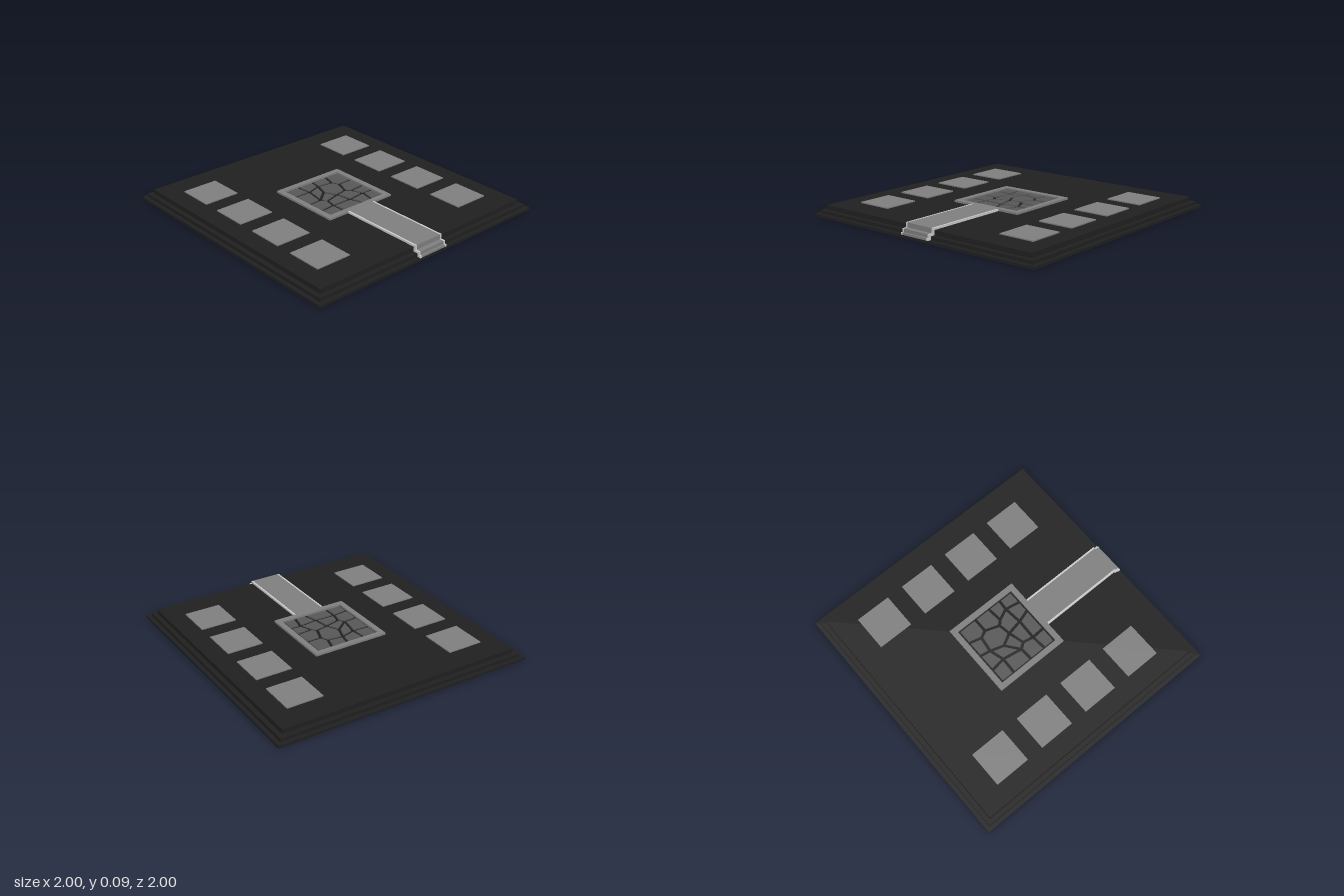
import * as THREE from 'three';

const mat = (color) => new THREE.MeshStandardMaterial({ color, flatShading: true });
const DARK = mat(0x202020), STONE = mat(0x585858), GREY = mat(0x808080), LIGHT = mat(0xbcbcbc);

function addMesh(parent, name, geometry, material) {
  const mesh = new THREE.Mesh(geometry, material);
  mesh.name = name;
  parent.add(mesh);
  return mesh;
}

// Box given by its centre in plan, its size and its bottom and top heights
function slab(parent, name, x, z, w, d, y0, y1, material) {
  addMesh(parent, name, new THREE.BoxGeometry(w, y1 - y0, d), material).position.set(x, (y0 + y1) / 2, z);
}

// Moves every edge of a polygon inward by t and intersects neighbouring edges
function inset(points, t) {
  const n = points.length;
  const centre = points.reduce((s, p) => s.add(p), new THREE.Vector2()).divideScalar(n);
  const lines = points.map((p, i) => {
    const d = points[(i + 1) % n].clone().sub(p).normalize();
    const normal = new THREE.Vector2(-d.y, d.x);
    if (normal.dot(centre.clone().sub(p)) < 0) normal.negate();
    return { p: p.clone().addScaledVector(normal, t), d };
  });
  return lines.map((b, i) => {
    const a = lines[(i + n - 1) % n];
    const s = b.p.clone().sub(a.p).cross(b.d) / a.d.cross(b.d);
    return a.p.clone().addScaledVector(a.d, s);
  });
}

// Corners of the paving pattern (x, z) in hundredths, and the stones between them
const corners = {
  a: [-25, -25], b: [-13.4, -25], c: [0.5, -25], d: [13.4, -25], e: [25, -25],
  f: [25, -9.6], g: [25, 3.2], h: [25, 13.4], i: [25, 24.5], j: [14.4, 24.5],
  k: [5.9, 24.5], l: [-12.3, 24.5], m: [-25, 24.5], n: [-25, 15], o: [-25, 2.1],
  p: [-25, -13.9], q: [-11.8, -13.4], r: [-1, -16.6], s: [10.7, -15], t: [13.4, -9.6],
  u: [9.6, 1.1], v: [0.5, 2.7], w: [-4.3, -6.4], x: [-14.4, 1.6], y: [-11.2, 5.9],
  z: [-12.8, 13.9], A: [2.7, 14.4], B: [16.6, 12.8], C: [12.8, 4.3],
};
const stones = ['abqp', 'bcrq', 'cdsr', 'defts', 'pqxo', 'qrwx', 'rstuvw', 'tfgCu', 'xwvy',
  'oxyzn', 'yvAz', 'vuCBA', 'CghB', 'nzlm', 'zAkl', 'ABjk', 'BhiJ'.replace('J', 'ij')];

export function createModel() {
  const model = new THREE.Group();
  model.name = 'steppedCourt';

  // Three stepped tiers
  [[1, 0, 0.02], [0.97, 0.02, 0.045], [0.935, 0.045, 0.08]].forEach(([h, y0, y1], i) =>
    slab(model, `baseTier${i + 1}`, 0, 0, 2 * h, 2 * h, y0, y1, DARK));

  // Two rows of four square plates
  for (const side of [-1, 1])
    for (let i = 0; i < 4; i++)
      slab(model, 'plate', side * 0.656, -0.613 + i * 0.406, 0.275, 0.275, 0.08, 0.088, GREY);

  // Frame around the paving
  for (const side of [-1, 1]) {
    slab(model, 'frameCrossBar', 0, -0.003 + side * 0.272, 0.586, 0.042, 0.08, 0.095, GREY);
    slab(model, 'frameSideBar', side * 0.272, -0.003, 0.042, 0.502, 0.08, 0.095, GREY);
  }

  // Irregular paving stones separated by grooves
  const paving = new THREE.Group();
  paving.name = 'paving';
  model.add(paving);
  for (const cell of stones) {
    const keys = [...new Set(cell)];
    const outline = keys.map((k) => new THREE.Vector2(corners[k][0] / 100, -corners[k][1] / 100));
    const geometry = new THREE.ExtrudeGeometry(new THREE.Shape(inset(outline, 0.011)),
      { depth: 0.009, bevelEnabled: false });
    geometry.rotateX(-Math.PI / 2).translate(0, 0.08, 0);
    addMesh(paving, 'pavingStone', geometry, STONE);
  }

  // Runner that follows the steps down the front, with light edge strips
  const profile = new THREE.Shape([[0.29, 0.08], [0.935, 0.08], [0.935, 0.045], [0.97, 0.045],
    [0.97, 0.02], [1, 0.02], [1, 0.035], [0.985, 0.035], [0.985, 0.06], [0.95, 0.06],
    [0.95, 0.095], [0.29, 0.095]].map(([z, y]) => new THREE.Vector2(z, y)));
  const strip = (name, x, width, material) => {
    const geometry = new THREE.ExtrudeGeometry(profile, { depth: width, bevelEnabled: false });
    geometry.rotateY(-Math.PI / 2).translate(x + width / 2, 0, 0);
    addMesh(model, name, geometry, material);
  };
  strip('runner', 0, 0.22, GREY);
  for (const side of [-1, 1]) strip('runnerEdge', side * 0.117, 0.014, LIGHT);

  return model;
}
